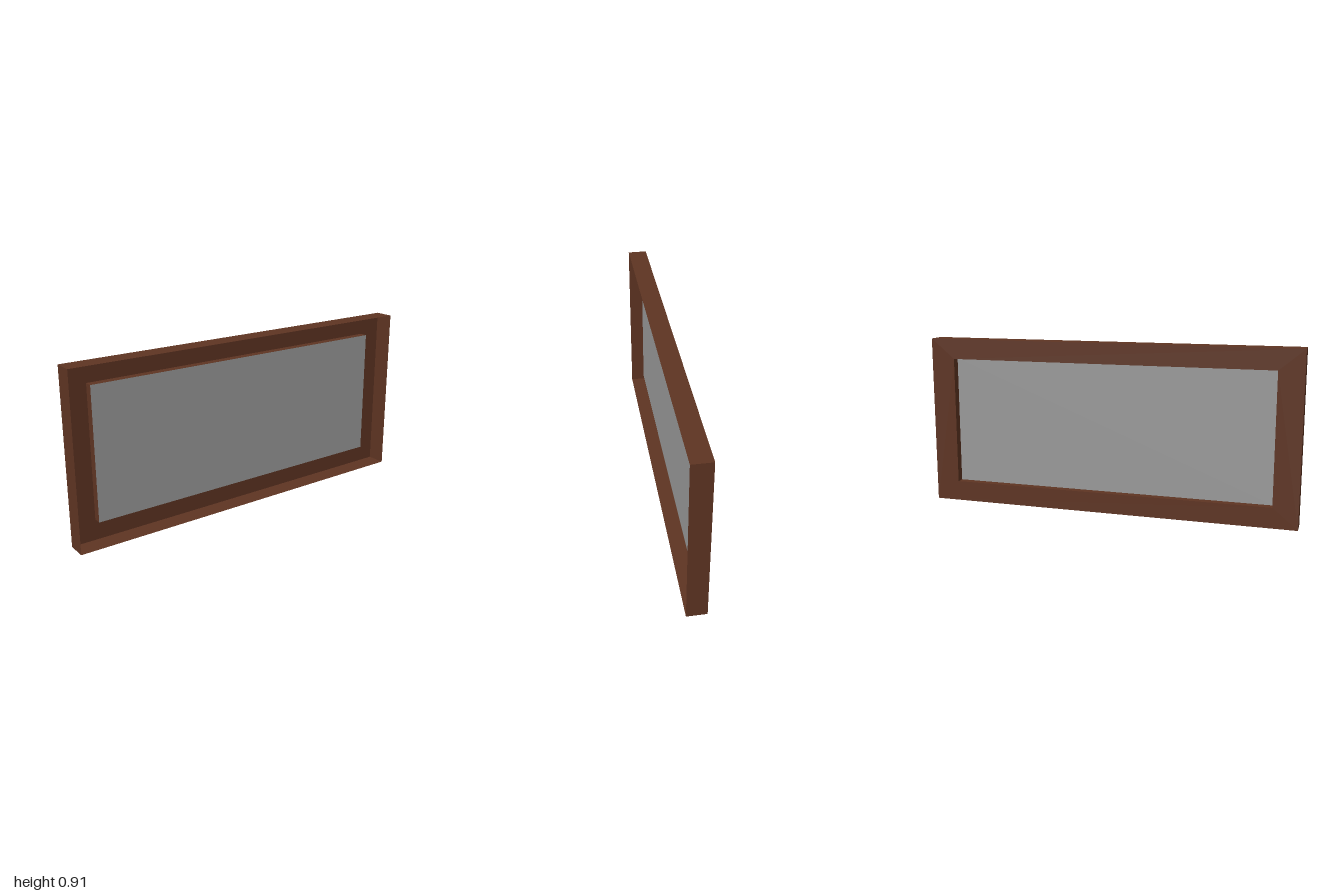
import * as THREE from 'three';

export function createModel() {
  const wood = new THREE.MeshStandardMaterial({ color: 0x5e3422, side: THREE.DoubleSide });
  wood.name = 'brown wood';
  const glass = new THREE.MeshStandardMaterial({ color: 0x9a9a9a, side: THREE.DoubleSide });
  glass.name = 'grey glass';

  const model = new THREE.Group();
  model.name = 'windowFrame';
  const height = 0.907, midY = height / 2;
  const faceX = -0.051, openX = 0.051, paneX = -0.009;
  const outer = { z: 1, y: midY };
  const inner = { z: 0.87, y: 0.345 };

  const add = (parent, name, geometry, material, x, y, z) => {
    const mesh = new THREE.Mesh(geometry, material);
    mesh.name = name;
    mesh.position.set(x, y, z);
    parent.add(mesh);
  };

  // Four thin walls around a rectangle, running from x0 to x1
  const addWalls = (name, half, x0, x1) => {
    const walls = new THREE.Group();
    walls.name = name;
    const depth = x1 - x0, x = (x0 + x1) / 2;
    for (const s of [-1, 1]) {
      const across = new THREE.PlaneGeometry(depth, half.z * 2).rotateX(-s * Math.PI / 2);
      add(walls, s > 0 ? 'topWall' : 'bottomWall', across, wood, x, midY + s * half.y, 0);
      const end = new THREE.PlaneGeometry(depth, half.y * 2);
      if (s < 0) end.rotateY(Math.PI);
      add(walls, s > 0 ? 'frontWall' : 'backWall', end, wood, x, midY, s * half.z);
    }
    model.add(walls);
  };

  // Flat frame face with a rectangular opening
  const rectangle = (PathType, { z, y }) => new PathType([
    new THREE.Vector2(-z, -y), new THREE.Vector2(z, -y),
    new THREE.Vector2(z, y), new THREE.Vector2(-z, y),
  ]);
  const face = rectangle(THREE.Shape, outer);
  face.holes.push(rectangle(THREE.Path, inner));
  add(model, 'frameFace', new THREE.ShapeGeometry(face).rotateY(-Math.PI / 2), wood, faceX, midY, 0);

  // Outer rim, open on the +x side, and the recess that holds the pane
  addWalls('outerRim', outer, faceX, openX);
  addWalls('paneRecess', inner, faceX, paneX);

  // Pane at the bottom of the recess
  const pane = new THREE.PlaneGeometry(inner.z * 2, inner.y * 2).rotateY(Math.PI / 2);
  add(model, 'pane', pane, glass, paneX, midY, 0);

  return model;
}
